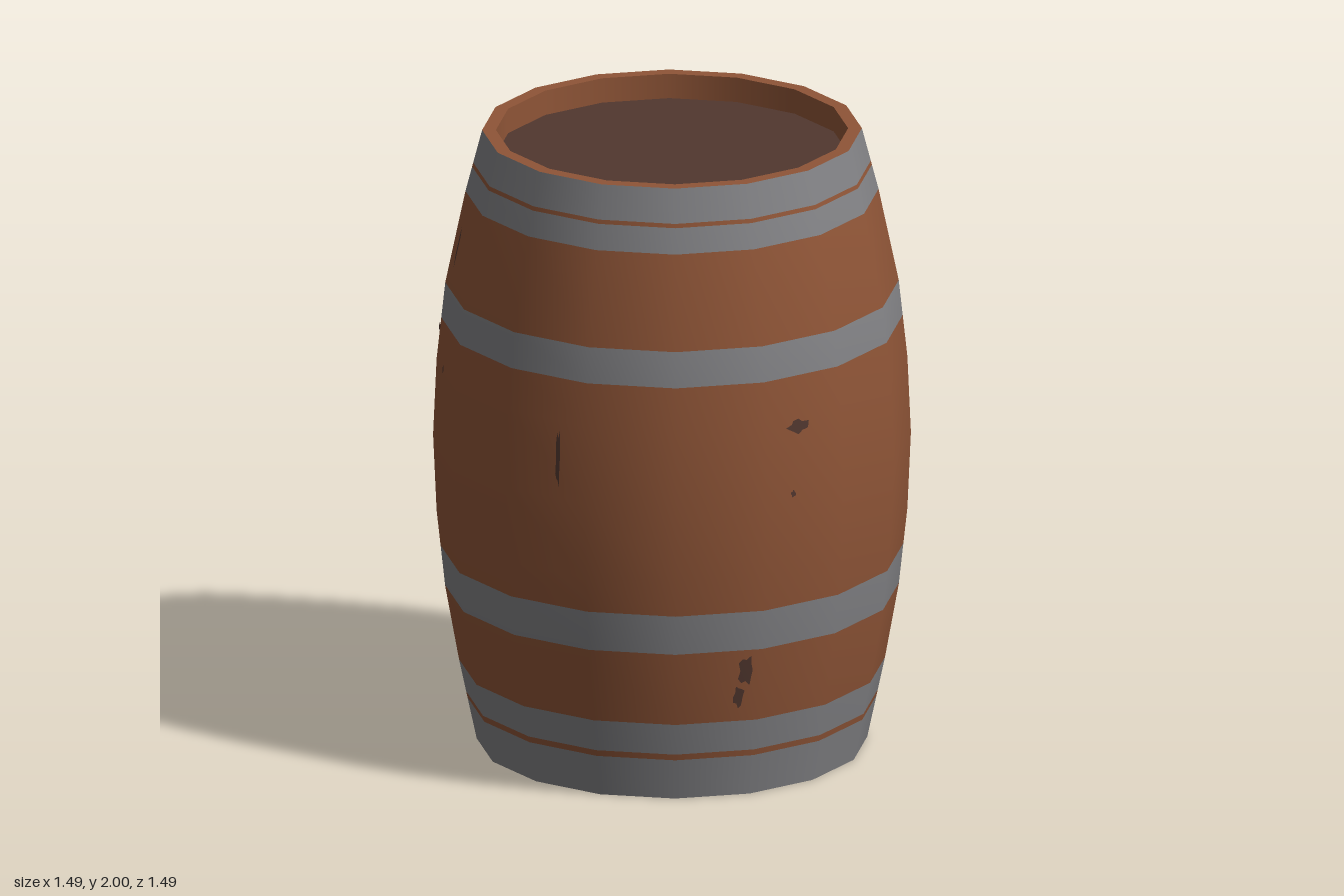
import * as THREE from 'three';

const SIDES = 16;
const STEP = (Math.PI * 2) / SIDES;

const mat = (name, color) => {
  const m = new THREE.MeshStandardMaterial({ color });
  m.name = name;
  return m;
};

// Barrel outline: [height, radius], straight between the knots
const OUTLINE = [[0, 0.61], [0.26, 0.665], [0.5, 0.708], [0.75, 0.735], [1, 0.746],
  [1.25, 0.735], [1.5, 0.708], [1.8, 0.645], [2, 0.593]];

function radiusAt(y) {
  let i = 1;
  while (i < OUTLINE.length - 1 && y > OUTLINE[i][0]) i++;
  const [y0, r0] = OUTLINE[i - 1], [y1, r1] = OUTLINE[i];
  return r0 + ((r1 - r0) * (y - y0)) / (y1 - y0);
}

// Smooth outward normal at an angle and height
function normalAt(angle, y) {
  const slope = (radiusAt(y + 0.12) - radiusAt(y - 0.12)) / 0.24;
  return new THREE.Vector3(Math.sin(angle), -slope, Math.cos(angle)).normalize();
}

const lathe = (points) =>
  new THREE.LatheGeometry(points.map(([r, y]) => new THREE.Vector2(r, y)), SIDES);

// One horizontal section of the curved side
function sideSection(y0, y1) {
  const knots = OUTLINE.map((p) => p[0]).filter((y) => y > y0 + 0.001 && y < y1 - 0.001);
  const heights = [y0, ...knots, y1];
  const geo = lathe(heights.map((y) => [radiusAt(y), y]));
  const normals = geo.attributes.normal;
  for (let i = 0; i < normals.count; i++) {
    const column = Math.floor(i / heights.length);
    const n = normalAt(column * STEP, heights[i % heights.length]);
    normals.setXYZ(i, n.x, n.y, n.z);
  }
  return geo;
}

// Irregular thin patch lying on the faceted side
function patchGeometry(angle, y, width, height, seed) {
  const geo = new THREE.CircleGeometry(1, 12);
  const pos = geo.attributes.position, nor = geo.attributes.normal;
  for (let i = 0; i < pos.count; i++) {
    const k = (i - 1) % 12;
    const rough = i === 0 ? 0 : 0.85 + 0.22 * Math.sin(k * 2.3 + seed * 1.7);
    const h = y + pos.getY(i) * rough * height / 2;
    const a = angle + (pos.getX(i) * rough * width) / 2 / radiusAt(h);
    const local = a - (Math.floor(a / STEP) + 0.5) * STEP;
    const r = (radiusAt(h) * Math.cos(STEP / 2)) / Math.cos(local) + 0.005;
    pos.setXYZ(i, r * Math.sin(a), h, r * Math.cos(a));
    const n = normalAt(a, h);
    nor.setXYZ(i, n.x, n.y, n.z);
  }
  return geo;
}

export function createModel() {
  const wood = mat('brown wood', 0x8f5537);
  const iron = mat('grey iron', 0x828285);
  const dark = mat('dark wood', 0x51372f);

  const barrel = new THREE.Group();
  barrel.name = 'barrel';
  const add = (name, geo, material) => {
    const mesh = new THREE.Mesh(geo, material);
    mesh.name = name;
    barrel.add(mesh);
  };

  // Alternating iron hoops and wooden staves, bottom to top
  const edges = [0, 0.135, 0.155, 0.26, 0.505, 0.635, 1.385, 1.5, 1.8, 1.88, 1.893, 2];
  for (let i = 0; i < edges.length - 1; i++) {
    const isHoop = i % 2 === 0;
    add(isHoop ? `hoop${i / 2 + 1}` : `staves${(i + 1) / 2}`,
      sideSection(edges[i], edges[i + 1]), isHoop ? iron : wood);
  }

  // Rims, inner walls and recessed heads
  add('topRim', lathe([[0.593, 2], [0.55, 2]]), wood);
  add('topInnerWall', lathe([[0.55, 2], [0.55, 1.92]]), wood);
  add('topHead', lathe([[0.55, 1.92], [0, 1.92]]), dark);
  add('bottomRim', lathe([[0.565, 0], [0.61, 0]]), wood);
  add('bottomInnerWall', lathe([[0.565, 0.075], [0.565, 0]]), wood);
  add('bottomHead', lathe([[0, 0.075], [0.565, 0.075]]), dark);

  // Worn spots: angle from the front in degrees, height, width, tallness
  const spots = [
    [-13, 1.225, 0.09, 0.05], [-15, 1.01, 0.02, 0.025], [-26.5, 0.435, 0.055, 0.11],
    [-28, 0.345, 0.04, 0.08], [90, 1.64, 0.08, 0.1], [91, 1.55, 0.065, 0.1],
    [91, 1.75, 0.025, 0.11], [86, 1.04, 0.05, 0.12], [87, 1.18, 0.015, 0.12],
    [81, 1.195, 0.025, 0.04], [102, 1.74, 0.02, 0.025], [96, 1.375, 0.02, 0.02],
    [-145, 1.04, 0.065, 0.1], [-144, 1.66, 0.03, 0.13], [-129, 1.64, 0.015, 0.14],
    [-134, 1.36, 0.02, 0.03], [-126, 1.25, 0.015, 0.03], [-75, 1.13, 0.02, 0.2],
  ];
  spots.forEach(([deg, y, w, h], i) =>
    add(`wornSpot${i + 1}`, patchGeometry((deg * Math.PI) / 180, y, w, h, i), dark));

  return barrel;
}
